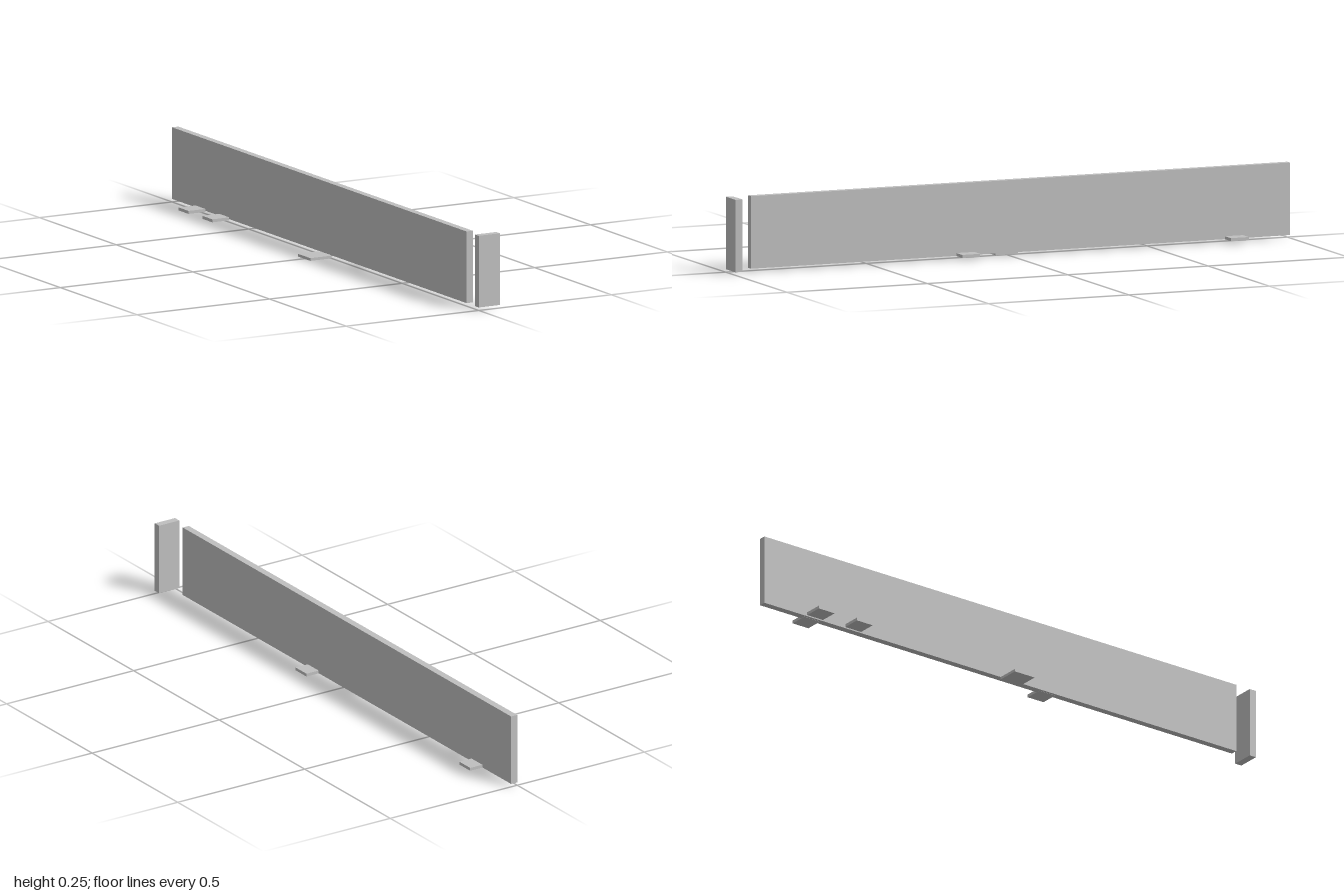
import * as THREE from 'three';

export function createModel() {
  const group = new THREE.Group();
  const lightGrey = new THREE.MeshStandardMaterial({ color: 0xbfbfbf });
  lightGrey.name = 'lightGrey';

  // Box given by its extents along each axis
  function slab(name, [x0, x1], [y0, y1], [z0, z1]) {
    const mesh = new THREE.Mesh(new THREE.BoxGeometry(x1 - x0, y1 - y0, z1 - z0), lightGrey);
    mesh.name = name;
    mesh.position.set((x0 + x1) / 2, (y0 + y1) / 2, (z0 + z1) / 2);
    group.add(mesh);
  }

  // Long upright wall and the separate panel across its front end
  const height = [0.01, 0.249];
  slab('wall', [0, 0.024], height, [-1, 0.92]);
  slab('endPanel', [0, 0.08], height, [0.975, 1]);

  // Large low plate beside the middle of the wall
  slab('basePlate', [-0.08, 0], [0, 0.009], [-0.04, 0.04]);

  // Small square pads on either side of the wall: [side, z]
  const half = 0.032;
  for (const [side, z] of [[1, 0.157], [1, -0.8], [-1, -0.8], [-1, -0.645]]) {
    const x = side * 0.04;
    slab(side > 0 ? 'leftPad' : 'rightPad', [x - half, x + half], [0.0095, 0.0195], [z - half, z + half]);
  }

  return group;
}
